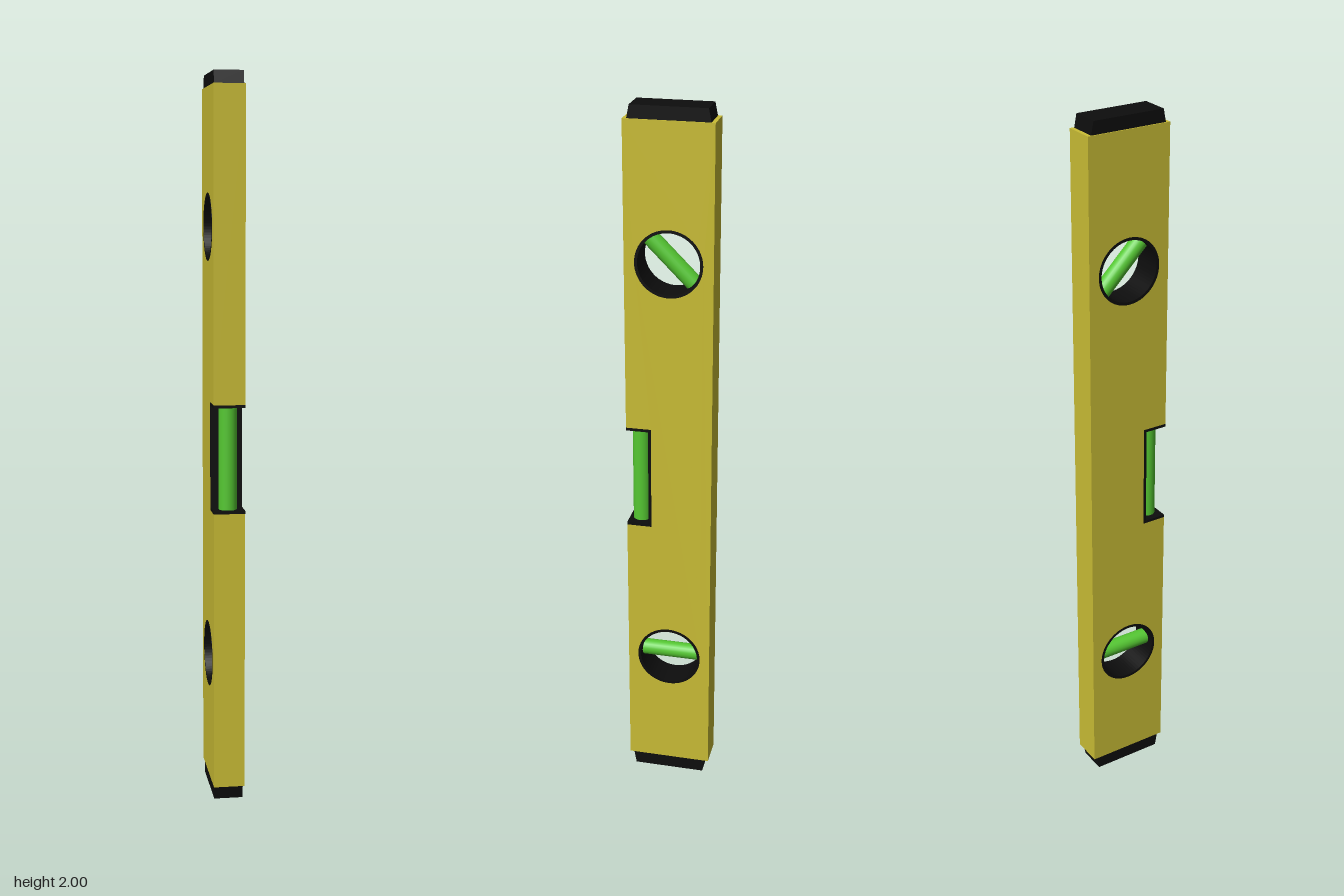
import * as THREE from 'three';

const W = 0.086, D = 0.12, Y0 = 0.04, Y1 = 1.965;   // body width, half depth, bottom, top
const SLOT = { y0: 0.819, y1: 1.118, z: 0.05 };     // notch in the front edge
const LINER = 0.008, HOLE_R = 0.092;
const HOLES = [{ name: 'lower', y: 0.395, tilt: Math.PI / 2 }, { name: 'upper', y: 1.592, tilt: Math.PI / 4 }];

const yellow = new THREE.MeshStandardMaterial({ color: 0xcabd35 });
const black = new THREE.MeshStandardMaterial({ color: 0x0d0d0d });
const green = new THREE.MeshStandardMaterial({ color: 0x55c832 });

const polygon = (pts) => new THREE.Shape(pts.map(([z, y]) => new THREE.Vector2(z, y)));

// Extrudes a side profile drawn in (z, y) across the width, centred on x = 0
function extrudeAcross(shape, width) {
  const geo = new THREE.ExtrudeGeometry(shape, { depth: width, bevelEnabled: false, curveSegments: 32 });
  return geo.translate(0, 0, -width / 2).rotateY(-Math.PI / 2);
}

function circle(y, r, Type = THREE.Path) {
  const path = new Type();
  path.absarc(0, y, r, 0, Math.PI * 2);
  return path;
}

export function createModel() {
  const group = new THREE.Group();
  const add = (name, geo, mat) => {
    const mesh = new THREE.Mesh(geo, mat);
    mesh.name = name;
    group.add(mesh);
    return mesh;
  };

  // Body: bar with a front notch and two round windows
  const { y0, y1, z } = SLOT;
  const body = polygon([[-D, Y0], [D, Y0], [D, y0], [z, y0], [z, y1], [D, y1], [D, Y1], [-D, Y1]]);
  body.holes = HOLES.map((h) => circle(h.y, HOLE_R));
  add('body', extrudeAcross(body, W), yellow);

  // Notch liner and its upright vial
  const t = LINER;
  const liner = polygon([[D, y0], [D, y0 + t], [z + t, y0 + t], [z + t, y1 - t], [D, y1 - t], [D, y1], [z, y1], [z, y0]]);
  add('slotLiner', extrudeAcross(liner, W + 0.001), black);
  const middle = add('middleVial', new THREE.CylinderGeometry(0.025, 0.025, y1 - y0 - 2 * t, 24), green);
  middle.position.set(0, (y0 + y1) / 2, 0.086);

  // Round windows: black rims with a vial across each
  for (const h of HOLES) {
    const rim = circle(h.y, HOLE_R, THREE.Shape);
    rim.holes.push(circle(h.y, HOLE_R - t));
    add(h.name + 'WindowRim', extrudeAcross(rim, W + 0.001), black);
    const vial = add(h.name + 'Vial', new THREE.CylinderGeometry(0.023, 0.023, 0.17, 24), green);
    vial.position.y = h.y;
    vial.rotation.x = h.tilt;
  }

  // End caps, narrowing slightly in depth towards the ends
  const caps = [['bottomCap', Y0, 0], ['topCap', Y1, 2]];
  for (const [name, inner, outer] of caps) {
    const a = 0.109, b = 0.102;
    const pts = [[-a, inner], [a, inner], [b, outer], [-b, outer]];
    add(name, extrudeAcross(polygon(pts), 0.08), black);
  }
  return group;
}
